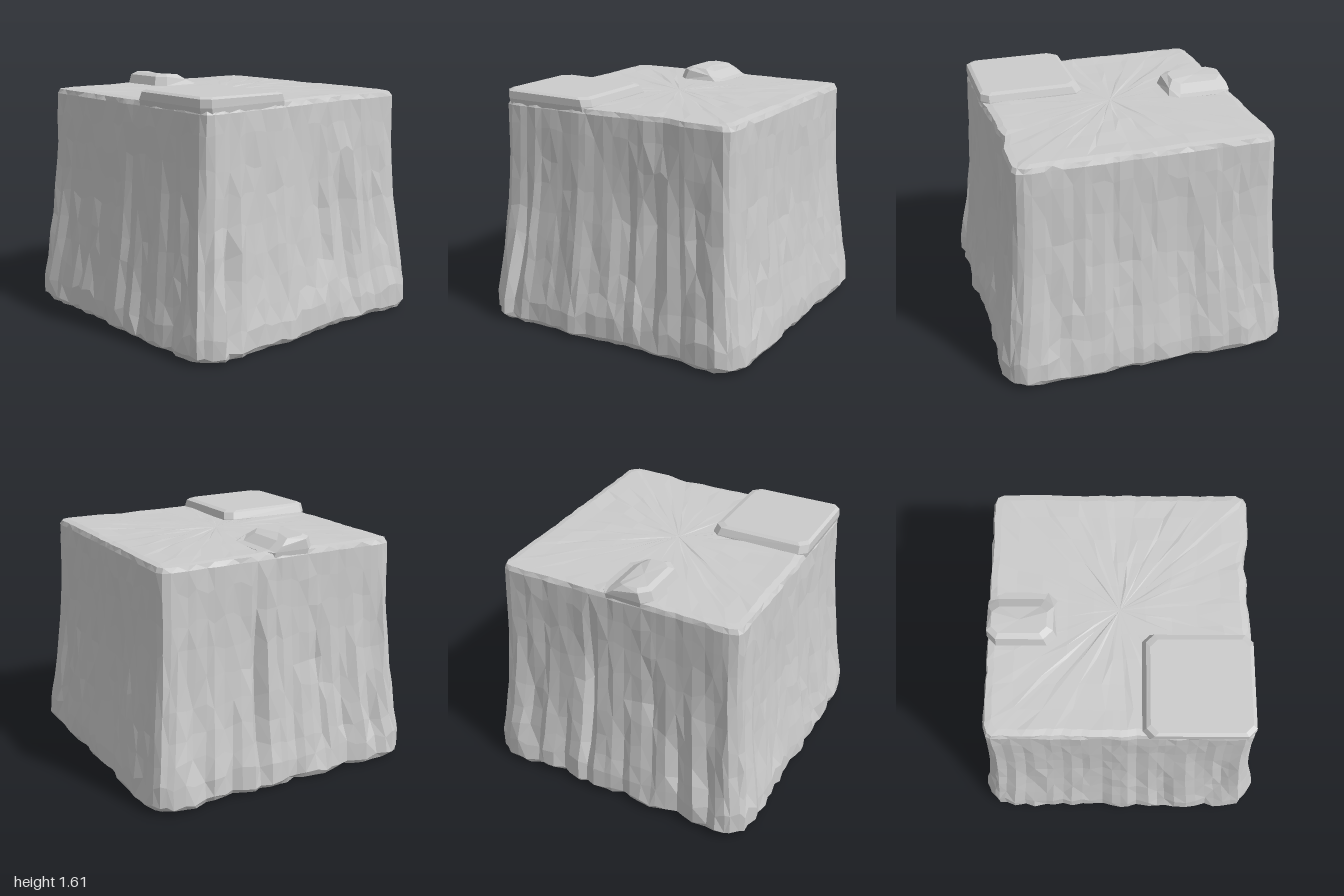
import * as THREE from 'three';

const material = new THREE.MeshStandardMaterial({ color: 0xcccccc, flatShading: true });
const { clamp, smoothstep } = THREE.MathUtils;

// Repeatable noise in -1..1
const hash = (a, b = 0) => {
  const s = Math.sin(a * 127.1 + b * 311.7 + 4.2) * 43758.5453;
  return 2 * (s - Math.floor(s)) - 1;
};

// Skins a stack of equal rings (anticlockwise from above) and closes both ends
function loft(name, rings) {
  const n = rings[0].length;
  const points = rings.flat();
  const index = [];
  for (let j = 0; j < rings.length - 1; j++) {
    for (let i = 0; i < n; i++) {
      const a = j * n + i, b = j * n + (i + 1) % n;
      if ((i + j) % 2) index.push(a, b, b + n, a, b + n, a + n);
      else index.push(a, b, a + n, b, b + n, a + n);
    }
  }
  const cap = (ring, start, up) => {
    const centre = ring.reduce((s, p) => s.add(p), new THREE.Vector3()).divideScalar(n);
    const c = points.push(centre) - 1;
    for (let i = 0; i < n; i++) {
      const a = start + i, b = start + (i + 1) % n;
      index.push(c, ...(up ? [a, b] : [b, a]));
    }
  };
  cap(rings[0], 0, false);
  cap(rings[rings.length - 1], (rings.length - 1) * n, true);
  const indexed = new THREE.BufferGeometry().setFromPoints(points);
  indexed.setIndex(index);
  const geometry = indexed.toNonIndexed();
  geometry.computeVertexNormals();
  const mesh = new THREE.Mesh(geometry, material);
  mesh.name = name;
  return mesh;
}

// Sides of the block: outward normal and running direction in (x, z)
const SIDES = [
  { n: [1, 0], d: [0, -1], rough: 0.008 },
  { n: [0, -1], d: [-1, 0], rough: 0.016 },
  { n: [-1, 0], d: [0, 1], rough: 0.012 },
  { n: [0, 1], d: [1, 0], rough: 0.013 },
];

// Grooves per side: position along the side, half width, depth, bottom, top
const GROOVES = [
  [[-0.62, 0.09, 0.03, 0.1, 0.9], [-0.45, 0.07, 0.02, 0.1, 0.6], [0.2, 0.2, 0.02, -1, 1.2],
    [0.78, 0.08, 0.03, 0.05, 0.8], [-0.12, 0.15, 0.015, -1, 1.1]],
  [[-0.66, 0.08, 0.05, 0.1, 1.1], [-0.42, 0.07, 0.04, -1, 0.9], [-0.2, 0.09, 0.05, 0.15, 1.25],
    [0.04, 0.08, 0.04, -1, 0.8], [0.26, 0.09, 0.05, 0.05, 1.2], [0.46, 0.07, 0.04, -1, 0.9],
    [0.7, 0.09, 0.05, 0.1, 1.15]],
  [[-0.6, 0.08, 0.03, 0.1, 1], [-0.2, 0.15, 0.025, -1, 1.2], [0.3, 0.09, 0.03, 0.05, 0.8],
    [0.68, 0.08, 0.035, 0.05, 1.1]],
  [[-0.72, 0.07, 0.05, 0, 1.1], [-0.1, 0.07, 0.03, 0.15, 0.85], [0.1, 0.08, 0.045, 0.3, 1.25],
    [0.32, 0.08, 0.05, 0.1, 1.25], [0.5, 0.08, 0.04, -1, 0.75], [0.62, 0.06, 0.03, 0.2, 1.2],
    [0.37, 0.14, 0.03, 1.2, 5], [0.12, 0.4, 0.025, -1, 5]],
];

const PER_SIDE = 28;
// Ring of the block at height y, half width h and corner radius r
function blockRing(y, h, r, level) {
  const ring = [];
  SIDES.forEach(({ n, d, rough }, side) => {
    for (let i = 0; i < PER_SIDE; i++) {
      const column = side * PER_SIDE + i;
      const t = -1 + 2 * (i + (i ? 0.25 * hash(column, 7) : 0)) / PER_SIDE;
      const x = (n[0] + d[0] * t) * h, z = (n[1] + d[1] * t) * h;
      // Round the corner
      const qx = clamp(x, r - h, h - r), qz = clamp(z, r - h, h - r);
      const k = r / Math.max(r, Math.hypot(x - qx, z - qz));
      // Cut grooves and roughen the lower part
      let cut = 0;
      for (const [c, w, depth, y0, y1] of GROOVES[side]) {
        const fade = clamp(Math.min((y - y0) / 0.12, (y1 - y) / 0.4), 0, 1);
        cut += depth * fade * Math.max(0, 1 - Math.abs(t * h - c) / w);
      }
      cut *= 1 - smoothstep(Math.abs(t), 0.86, 1);
      const low = 1 - smoothstep(y, 0.5, 1.5);
      const push = -cut + rough * (0.2 + low) * hash(column) + 0.005 * hash(column, level + 1);
      const lift = level > 0 && y < 1.4 ? 0.25 * Math.min(y, 0.12) * hash(column, level + 40) : 0;
      ring.push(new THREE.Vector3(qx + (x - qx) * k + n[0] * push, y + lift,
        qz + (z - qz) * k + n[1] * push));
    }
  });
  return ring;
}

// Wide foot flaring out below straight upper walls, then the uneven top
function makeBlock() {
  const profile = [ // height, half width, corner radius
    [0.01, 0.9, 0.2], [0.02, 0.95, 0.2], [0.055, 0.975, 0.19], [0.18, 0.97, 0.18],
    [0.32, 0.945, 0.16], [0.48, 0.92, 0.14], [0.64, 0.9, 0.12], [0.82, 0.878, 0.1],
    [1.0, 0.862, 0.08], [1.18, 0.852, 0.07], [1.36, 0.847, 0.06], [1.5, 0.842, 0.06],
    [1.53, 0.83, 0.06],
  ];
  const rings = profile.map(([y, h, r], level) => blockRing(y, h, r, level));
  const rim = rings[rings.length - 1];
  [0.95, 0.8, 0.6, 0.4, 0.2].forEach((s, j) => rings.push(rim.map((p, i) =>
    new THREE.Vector3(p.x * s, 1.537 + 0.004 * hash(Math.floor(i / 4), j + 80), p.z * s))));
  // Slightly bumpy underside
  const foot = rings[0];
  [0.75, 0.5, 0.25].forEach((s, j) => rings.unshift(foot.map((p, i) =>
    new THREE.Vector3(p.x * s, 0.012 + 0.008 * hash(Math.floor(i / 4), j + 90), p.z * s))));
  return loft('rockBlock', rings);
}

// Raised patch: each ring is a list of [x, y, z]
const raisedPatch = (name, rings) =>
  loft(name, rings.map((ring) => ring.map((p) => new THREE.Vector3(...p))));

// Chamfered rectangle, anticlockwise from above
const rectangle = (x0, x1, z0, z1, c, height) => [
  [x1, z1 - c], [x1, z0 + c], [x1 - c, z0], [x0 + c, z0],
  [x0, z0 + c], [x0, z1 - c], [x0 + c, z1], [x1 - c, z1],
].map(([x, z]) => [x, height(x, z), z]);

export function createModel() {
  const group = new THREE.Group();
  group.name = 'rock';
  group.add(makeBlock());

  // Square slab on the front corner
  group.add(raisedPatch('cornerSlab', [
    rectangle(-0.838, -0.165, 0.135, 0.835, 0.05, () => 1.5),
    rectangle(-0.848, -0.17, 0.14, 0.84, 0.05, () => 1.54),
    rectangle(-0.846, -0.185, 0.165, 0.838, 0.05, (x) => 1.582 - 0.01 * x),
    rectangle(-0.825, -0.22, 0.19, 0.815, 0.05, (x) => 1.592 - 0.013 * x),
  ]));

  // Ridge at the back edge, sloping away to one side
  const slope = (top) => (x) => top - 0.42 * Math.max(0, x + 0.06);
  group.add(raisedPatch('backRidge', [
    rectangle(-0.24, 0.12, -0.838, -0.4, 0.06, () => 1.5),
    rectangle(-0.245, 0.12, -0.842, -0.4, 0.06, () => 1.537),
    rectangle(-0.225, 0.07, -0.84, -0.42, 0.06, slope(1.6)),
    rectangle(-0.19, 0.0, -0.81, -0.46, 0.045, slope(1.617)),
  ]));
  return group;
}
